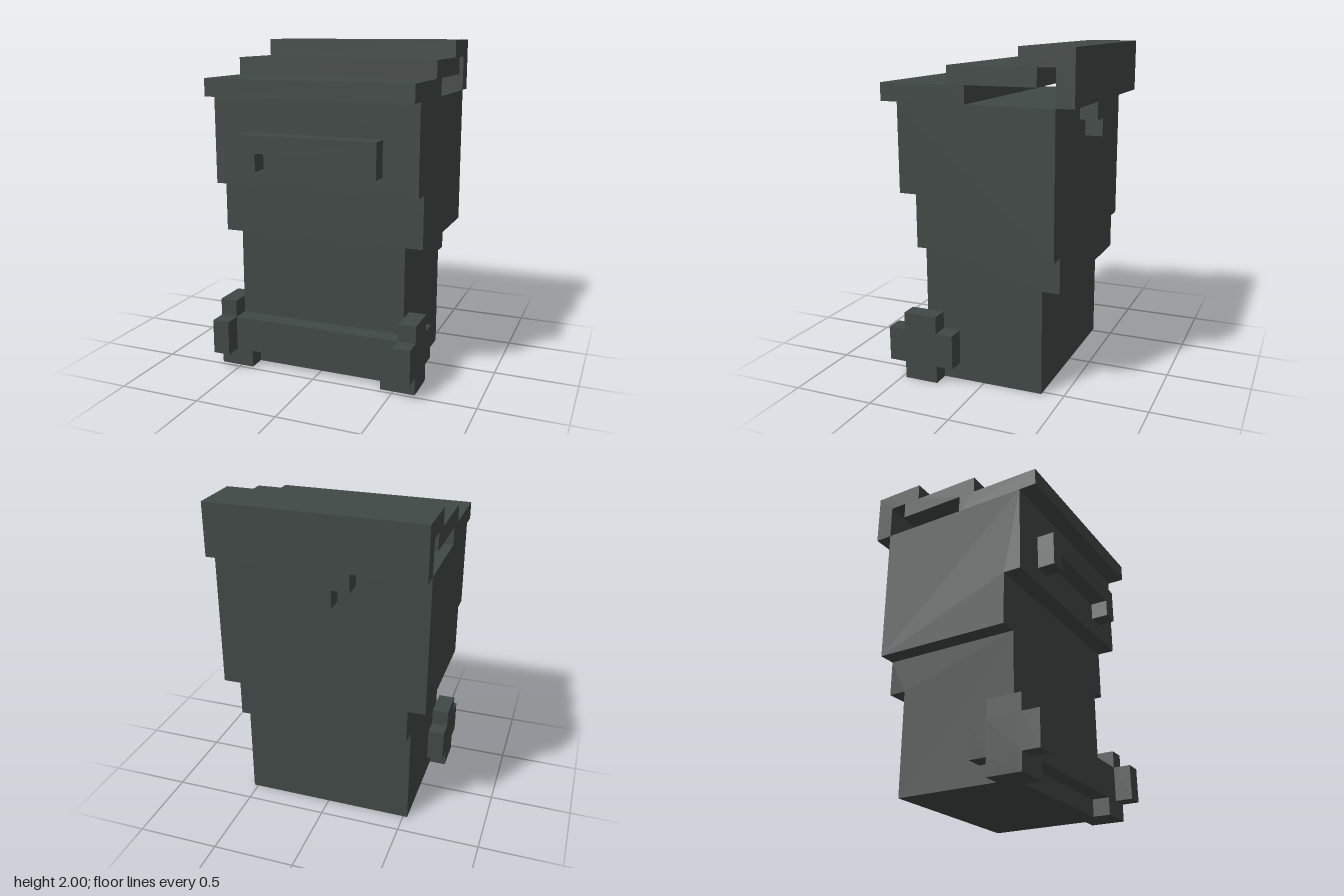
import * as THREE from 'three';

const U = 2 / 19; // one grid step of the blocky design

export function createModel() {
  const group = new THREE.Group();
  const plastic = new THREE.MeshStandardMaterial({ color: 0x414946 });
  plastic.name = 'dark grey green plastic';

  const add = (name, geometry) => {
    geometry.scale(U, U, U);
    const mesh = new THREE.Mesh(geometry, plastic);
    mesh.name = name;
    group.add(mesh);
  };

  // Outline of [z, y] points extruded sideways from x0 to x1
  const sideProfile = (name, x0, x1, points) => {
    const shape = new THREE.Shape(points.map(([z, y]) => new THREE.Vector2(-z, y)));
    const g = new THREE.ExtrudeGeometry(shape, { depth: x1 - x0, bevelEnabled: false });
    add(name, g.rotateY(Math.PI / 2).translate(x0, 0, 0));
  };

  // Outline of [x, y] points extruded forwards from z0 to z1
  const frontProfile = (name, z0, z1, points) => {
    const shape = new THREE.Shape(points.map(([x, y]) => new THREE.Vector2(x, y)));
    const g = new THREE.ExtrudeGeometry(shape, { depth: z1 - z0, bevelEnabled: false });
    add(name, g.translate(0, 0, z0));
  };

  const box = (name, x0, x1, y0, y1, z0, z1) =>
    add(name, new THREE.BoxGeometry(x1 - x0, y1 - y0, z1 - z0)
      .translate((x0 + x1) / 2, (y0 + y1) / 2, (z0 + z1) / 2));

  // Bin body, narrow below and wide above
  sideProfile('lowerBody', -5, 5, [
    [3.5, 0], [3.5, 8], [-4.5, 8], [-4.5, 6], [-3.5, 6], [-3.5, 0]]);
  sideProfile('upperBody', -6, 6, [
    [3.5, 8], [3.5, 11], [4.5, 11], [4.5, 16], [-4.5, 16], [-4.5, 8]]);

  // Stepped lid that folds down behind the body
  sideProfile('lid', -6, 6, [
    [5.5, 16], [5.5, 17], [1.5, 17], [1.5, 18], [-2.5, 18], [-2.5, 19],
    [-5.5, 19], [-5.5, 16], [-4.5, 16], [-4.5, 18], [-3.5, 18], [-3.5, 17],
    [0.5, 17], [0.5, 16]]);

  // Hinge block and stepped flap at the back
  box('hinge', -2, 2, 16, 17, -4.5, -3.5);
  frontProfile('hingeFlap', -5.5, -4.5, [
    [-2, 16], [-2, 15], [-1, 15], [-1, 14], [1, 14], [1, 15], [2, 15], [2, 16]]);

  // Front handle
  frontProfile('handle', 4.5, 5.5, [
    [-4, 12], [-3, 12], [-3, 13], [3, 13], [3, 12], [4, 12], [4, 14], [-4, 14]]);

  // Axle, with a cross-shaped wheel and a small foot on each side
  box('axle', -5, 5, 1, 3, 3.5, 4.5);
  for (const [side, x] of [['left', 5], ['right', -6]]) {
    sideProfile(side + 'Wheel', x, x + 1, [
      [2.5, 0], [4.5, 0], [4.5, 1], [5.5, 1], [5.5, 3], [4.5, 3],
      [4.5, 4], [2.5, 4], [2.5, 3], [1.5, 3], [1.5, 1], [2.5, 1]]);
    const footX = side === 'left' ? 4 : -5;
    box(side + 'Foot', footX, footX + 1, 0, 1, 3.5, 4.5);
  }

  return group;
}
